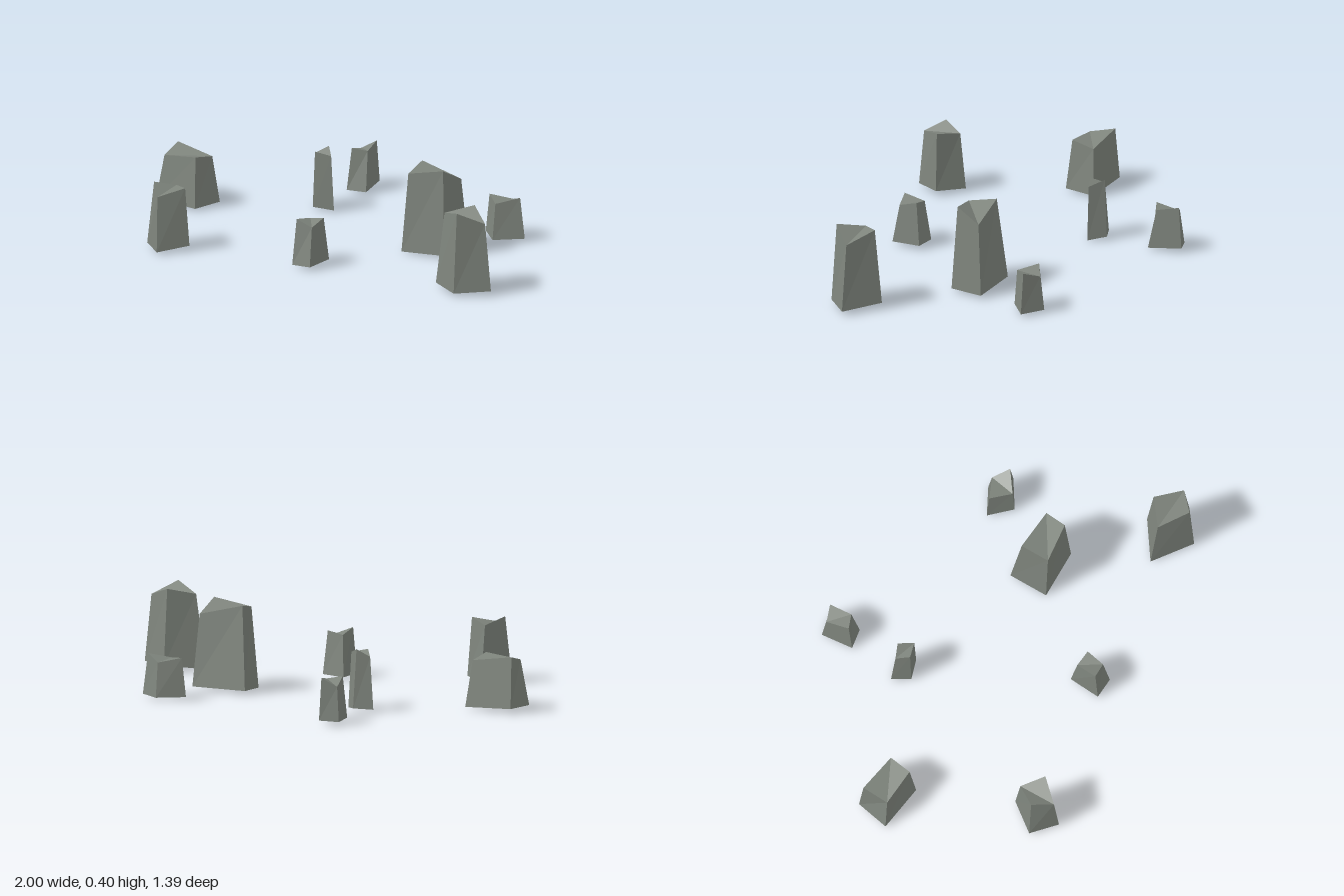
import * as THREE from 'three';

const stone = new THREE.MeshStandardMaterial({ color: 0x7f857d, roughness: 1, flatShading: true });

// A standing stone: four foot corners and four top corners, [x, y, z],
// listed counterclockwise from above (back left, front left, front right, back right).
function makeStone(name, foot, top) {
  const positions = [];
  const tri = (a, b, c) => positions.push(...a, ...b, ...c);

  // Tapered sides
  for (let i = 0; i < 4; i++) {
    const j = (i + 1) % 4;
    tri(foot[i], foot[j], top[j]);
    tri(foot[i], top[j], top[i]);
  }

  // Broken top: a notch runs between the lower pair of opposite corners
  const s = top[0][1] + top[2][1] < top[1][1] + top[3][1] ? 0 : 1;
  const at = (k) => top[(k + s) % 4];
  tri(at(0), at(1), at(2));
  tri(at(0), at(2), at(3));

  // Underside
  tri(foot[0], foot[2], foot[1]);
  tri(foot[0], foot[3], foot[2]);

  const geometry = new THREE.BufferGeometry();
  geometry.setAttribute('position', new THREE.Float32BufferAttribute(positions, 3));
  geometry.computeVertexNormals();
  const mesh = new THREE.Mesh(geometry, stone);
  mesh.name = name;
  return mesh;
}

export function createModel() {
  const group = new THREE.Group();
  group.name = 'stoneCircle';
  const add = (name, foot, top) => group.add(makeStone(name, foot, top));

  add('broadRightStone',
    [[-0.98, 0.02, -0.09], [-1.0, 0.015, 0.065], [-0.78, 0.01, 0.08], [-0.75, 0.01, -0.07]],
    [[-0.975, 0.25, -0.07], [-0.965, 0.22, 0.05], [-0.795, 0.24, 0.055], [-0.78, 0.22, -0.055]]);

  add('frontRightStone',
    [[-0.67, 0.015, 0.61], [-0.56, 0.01, 0.695], [-0.47, 0.025, 0.57], [-0.58, 0.015, 0.475]],
    [[-0.64, 0.3, 0.6], [-0.57, 0.26, 0.675], [-0.49, 0.29, 0.575], [-0.585, 0.27, 0.505]]);

  add('frontLeftStone',
    [[0.695, 0.005, 0.335], [0.87, 0.015, 0.45], [0.995, 0.02, 0.34], [0.845, 0.03, 0.215]],
    [[0.745, 0.34, 0.34], [0.87, 0.38, 0.425], [0.96, 0.325, 0.335], [0.845, 0.37, 0.25]]);

  add('tallStone',
    [[0.29, 0.015, -0.14], [0.305, 0.0, 0.04], [0.525, 0.015, 0.025], [0.55, 0.015, -0.13]],
    [[0.32, 0.39, -0.1], [0.335, 0.365, 0.03], [0.505, 0.4, 0.005], [0.525, 0.34, -0.107]]);

  add('backLeftStone',
    [[0.465, 0.015, -0.385], [0.56, 0.01, -0.3], [0.675, 0.015, -0.385], [0.58, 0.015, -0.455]],
    [[0.485, 0.19, -0.385], [0.565, 0.175, -0.315], [0.65, 0.2, -0.385], [0.58, 0.17, -0.435]]);

  add('smallFrontStone',
    [[0.035, 0.015, 0.355], [0.035, 0.01, 0.5], [0.13, 0.015, 0.5], [0.14, 0.02, 0.365]],
    [[0.05, 0.2, 0.38], [0.045, 0.22, 0.48], [0.12, 0.19, 0.47], [0.125, 0.215, 0.385]]);

  add('smallBackStone',
    [[-0.41, 0.015, -0.675], [-0.385, 0.01, -0.53], [-0.295, 0.01, -0.55], [-0.325, 0.02, -0.7]],
    [[-0.395, 0.17, -0.66], [-0.375, 0.2, -0.555], [-0.31, 0.19, -0.585], [-0.33, 0.21, -0.685]]);

  add('slenderStone',
    [[-0.41, 0.01, -0.305], [-0.36, 0.015, -0.23], [-0.27, 0.005, -0.265], [-0.325, 0.015, -0.335]],
    [[-0.39, 0.245, -0.295], [-0.355, 0.27, -0.24], [-0.285, 0.255, -0.265], [-0.335, 0.28, -0.32]]);

  return group;
}
